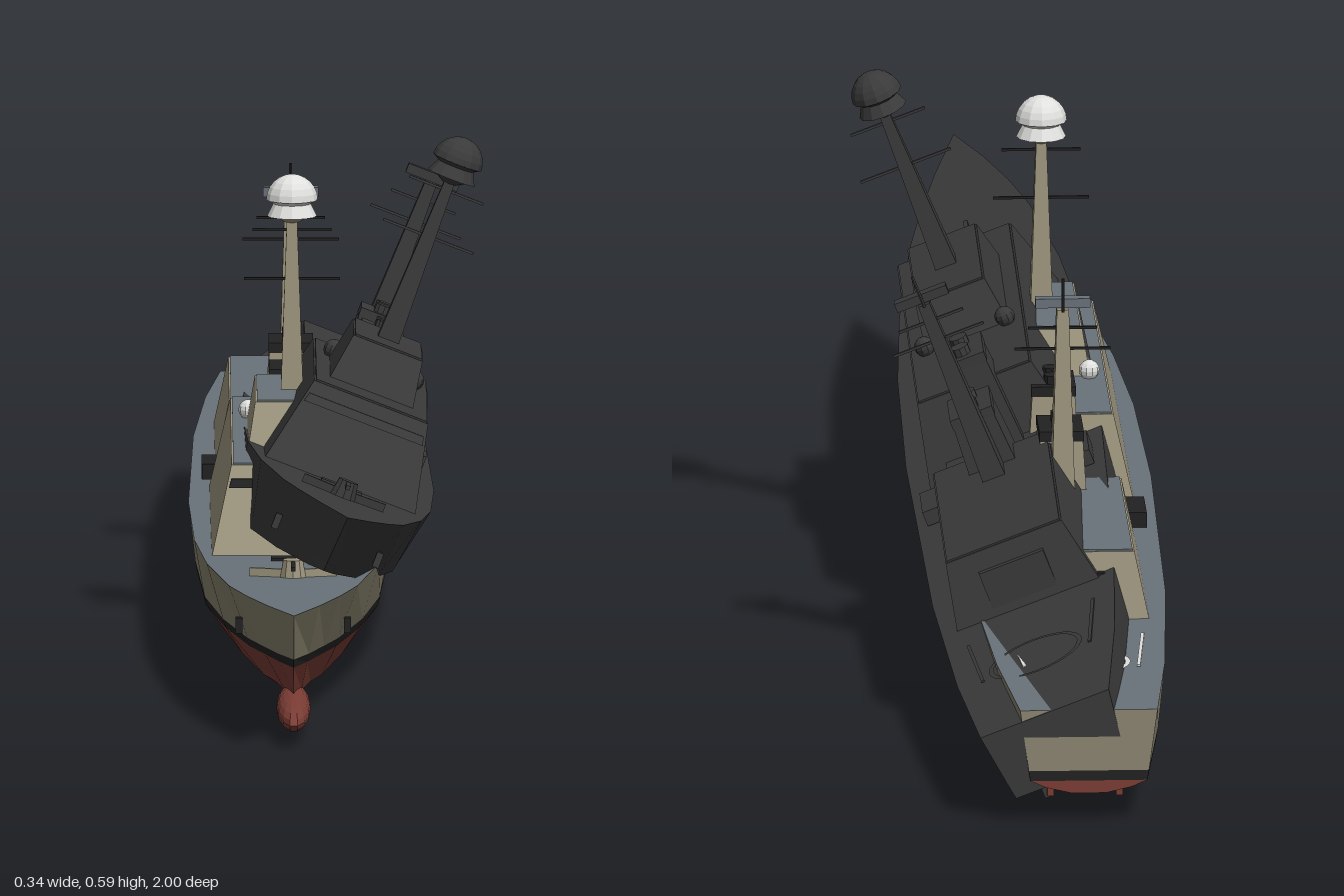
import * as THREE from 'three';

const mat = (name, color) => {
  const m = new THREE.MeshStandardMaterial({ color, side: THREE.DoubleSide, flatShading: true });
  m.name = name;
  return m;
};

// Hull stations from stern (t = 0) to bow (t = 1): half-widths and heights per level
const T = [0, 0.1, 0.25, 0.5, 0.65, 0.75, 0.85, 0.9, 0.95, 1];
const LEVELS = {
  keel: { bow: 0.75, w: [0.02, 0.03, 0.04, 0.04, 0.035, 0.025, 0.012, 0.007, 0.003, 0],
    y: [0.035, 0.02, 0.004, 0, 0, 0, 0.005, 0.01, 0.014, 0.02] },
  bilge: { bow: 0.82, w: [0.05, 0.07, 0.085, 0.09, 0.078, 0.058, 0.034, 0.02, 0.01, 0],
    y: [0.042, 0.03, 0.02, 0.018, 0.018, 0.02, 0.024, 0.03, 0.035, 0.045] },
  water: { bow: 0.9, w: [0.068, 0.088, 0.104, 0.11, 0.1, 0.078, 0.05, 0.033, 0.016, 0],
    y: [0.05, 0.05, 0.05, 0.052, 0.056, 0.06, 0.068, 0.074, 0.08, 0.088] },
  boot: { bow: 0.915, w: [0.07, 0.09, 0.106, 0.112, 0.102, 0.081, 0.053, 0.036, 0.018, 0],
    y: [0.062, 0.062, 0.062, 0.064, 0.068, 0.072, 0.08, 0.086, 0.092, 0.1] },
  deck: { bow: 1, w: [0.08, 0.098, 0.113, 0.12, 0.114, 0.1, 0.075, 0.055, 0.03, 0],
    y: [0.135, 0.136, 0.138, 0.14, 0.143, 0.147, 0.153, 0.157, 0.161, 0.165] },
};
const edge = (level, side) => T.map((t, i) => {
  const l = LEVELS[level];
  return [side * l.w[i], l.y[i], -1 + t * (l.bow + 1)];
});

// Flat strip of quads between two rows of points
function strip(a, b) {
  const p = [];
  for (let i = 0; i < a.length - 1; i++) {
    p.push(...a[i], ...b[i], ...b[i + 1], ...a[i], ...b[i + 1], ...a[i + 1]);
  }
  const g = new THREE.BufferGeometry();
  g.setAttribute('position', new THREE.Float32BufferAttribute(p, 3));
  g.computeVertexNormals();
  return g;
}

// Box with separate base and top rectangles; each is [halfWidth, zBack, zFront]
function taperedBox(y0, y1, base, top) {
  const g = new THREE.BoxGeometry(1, 1, 1);
  const p = g.attributes.position;
  for (let i = 0; i < p.count; i++) {
    const up = p.getY(i) > 0;
    const r = up ? top : base;
    p.setXYZ(i, Math.sign(p.getX(i)) * r[0], up ? y1 : y0, p.getZ(i) > 0 ? r[2] : r[1]);
  }
  g.computeVertexNormals();
  return g;
}

function buildShip(c, withUnderwater) {
  const ship = new THREE.Group();
  const add = (name, geo, m, x = 0, y = 0, z = 0) => {
    const mesh = new THREE.Mesh(geo, m);
    mesh.name = name;
    mesh.position.set(x, y, z);
    ship.add(mesh);
    return mesh;
  };
  const box = (name, m, w, h, d, x, y, z) => add(name, new THREE.BoxGeometry(w, h, d), m, x, y, z);
  const cyl = (name, m, r1, r0, h, x, y, z, n = 12) =>
    add(name, new THREE.CylinderGeometry(r1, r0, h, n), m, x, y, z);

  // Hull bands with their part of the transom
  const band = (name, lo, hi, m) => {
    add(name + 'Left', strip(edge(lo, 1), edge(hi, 1)), m);
    add(name + 'Right', strip(edge(hi, -1), edge(lo, -1)), m);
    const ends = (s) => [edge(lo, s)[0], edge(hi, s)[0]];
    add(name + 'Transom', strip(ends(1), ends(-1)), m);
  };
  band('topside', 'boot', 'deck', c.hull);
  band('bootTopping', 'water', 'boot', c.black);
  add('deck', strip(edge('deck', 1), edge('deck', -1)), c.deck);

  if (withUnderwater) {
    band('lowerHull', 'bilge', 'water', c.red);
    band('bilge', 'keel', 'bilge', c.red);
    add('bottom', strip(edge('keel', -1), edge('keel', 1)), c.red);
    const bulb = add('sonarBulb', new THREE.SphereGeometry(1, 14, 10), c.red, 0, 0.027, 0.81);
    bulb.scale.set(0.02, 0.018, 0.14);
  }
  for (const s of [1, -1]) {
    box('rudder', c.red, 0.008, 0.045, 0.07, s * 0.04, 0.028, -0.87);
    box('anchor', c.black, 0.008, 0.018, 0.012, s * 0.063, 0.102, 0.67);
    box('boat', c.black, 0.022, 0.018, 0.07, s * 0.093, 0.15, -0.195);
    add('smallDome', new THREE.SphereGeometry(0.012, 10, 8), c.white, s * 0.05, 0.256, 0.045);
  }

  // Forward superstructure and bridge
  add('forwardHouse', taperedBox(0.135, 0.245, [0.096, -0.13, 0.435], [0.071, -0.11, 0.385]), c.house);
  add('forwardHouseRoof', taperedBox(0.245, 0.247, [0.069, -0.108, 0.383], [0.069, -0.108, 0.383]), c.deck);
  add('bridgeWindows', taperedBox(0.22, 0.23, [0.074, 0.36, 0.399], [0.071, 0.36, 0.3945]), c.black);
  add('bridgeTop', taperedBox(0.245, 0.3, [0.052, 0.05, 0.29], [0.043, 0.07, 0.265]), c.house);
  add('bridgeTopRoof', taperedBox(0.3, 0.302, [0.041, 0.072, 0.263], [0.041, 0.072, 0.263]), c.deck);

  // Low midship house and aft hangar
  add('midHouse', taperedBox(0.135, 0.17, [0.07, -0.29, -0.12], [0.065, -0.29, -0.12]), c.house);
  add('hangar', taperedBox(0.13, 0.215, [0.09, -0.615, -0.265], [0.072, -0.6, -0.28]), c.house);
  add('hangarRoof', taperedBox(0.215, 0.217, [0.07, -0.598, -0.282], [0.07, -0.598, -0.282]), c.deck);
  box('hangarDoor', c.black, 0.08, 0.055, 0.008, 0, 0.165, -0.608);

  // Funnels with a dark cap and twin uptakes
  for (const z of [-0.1, -0.295]) {
    add('funnel', taperedBox(0.16, 0.275, [0.032, z - 0.045, z + 0.045], [0.025, z - 0.036, z + 0.036]), c.house);
    box('funnelCap', c.black, 0.052, 0.012, 0.074, 0, 0.28, z);
    for (const d of [-0.017, 0.017]) cyl('uptake', c.black, 0.011, 0.011, 0.014, 0, 0.289, z + d, 10);
  }

  // Forward mast with yards and radome
  const MZ = 0.17;
  add('foreMast', taperedBox(0.3, 0.5, [0.013, MZ - 0.017, MZ + 0.017], [0.006, MZ - 0.008, MZ + 0.008]), c.house);
  cyl('mastHead', c.house, 0.02, 0.008, 0.007, 0, 0.5, MZ);
  cyl('radomeSkirt', c.white, 0.02, 0.029, 0.018, 0, 0.513, MZ);
  add('radome', new THREE.SphereGeometry(0.03, 12, 6, 0, Math.PI * 2, 0, Math.PI / 2), c.white, 0, 0.523, MZ);
  cyl('radomeBase', c.white, 0.03, 0.022, 0.005, 0, 0.521, MZ);

  // Aft mast with a flat antenna bar and whip
  const AZ = -0.355;
  add('aftMast', taperedBox(0.21, 0.442, [0.014, AZ - 0.022, AZ + 0.022], [0.007, AZ - 0.011, AZ + 0.011]), c.house);
  box('antennaBar', c.deck, 0.064, 0.011, 0.014, 0, 0.449, AZ);
  cyl('whip', c.black, 0.002, 0.002, 0.04, 0, 0.46, AZ - 0.012, 6);
  for (const [y, half, z] of [[0.488, 0.046, MZ], [0.43, 0.056, MZ], [0.393, 0.056, AZ], [0.418, 0.04, AZ]]) {
    box('yard', c.black, half * 2, 0.003, 0.003, 0, y, z);
  }

  // Foredeck gun and breakwater
  cyl('gunMount', c.house, 0.012, 0.016, 0.022, 0, 0.16, 0.62, 10);
  box('gunBarrel', c.black, 0.005, 0.005, 0.05, 0, 0.168, 0.65);
  for (const s of [1, -1]) {
    const wing = box('breakwater', c.house, 0.05, 0.01, 0.005, s * 0.026, 0.155, 0.617);
    wing.rotation.y = s * 0.3;
  }
  box('foreHatch', c.black, 0.05, 0.006, 0.02, 0, 0.147, 0.47);

  // Flight deck markings
  const ring = add('landingCircle', new THREE.RingGeometry(0.052, 0.058, 28), c.white, 0, 0.1385, -0.8);
  ring.rotation.x = -Math.PI / 2;
  for (const s of [1, -1]) {
    const line = box('deckLine', c.white, 0.004, 0.002, 0.14, s * 0.072, 0.138, -0.75);
    line.rotation.y = s * 0.08;
  }
  return ship;
}

export function createModel() {
  const model = new THREE.Group();
  const painted = {
    hull: mat('hullTan', 0x8a846f), house: mat('houseTan', 0x9d957e), deck: mat('deckGrey', 0x69727a),
    red: mat('bottomRed', 0x7b3d35), black: mat('black', 0x222222), white: mat('white', 0xe0e0de),
  };
  const dark = mat('charcoal', 0x3a3a3a);
  const plain = Object.fromEntries(Object.keys(painted).map((k) => [k, dark]));

  // Upright painted ship
  const upright = buildShip(painted, true);
  upright.name = 'paintedShip';
  upright.position.x = -0.053;

  // Heeled charcoal ship, bow raised
  const heeled = buildShip(plain, false);
  heeled.name = 'charcoalShip';
  heeled.position.set(-0.05, 0.066, 0.004);
  heeled.rotation.set(-0.06, 0, -0.37);

  model.add(upright, heeled);
  return model;
}
